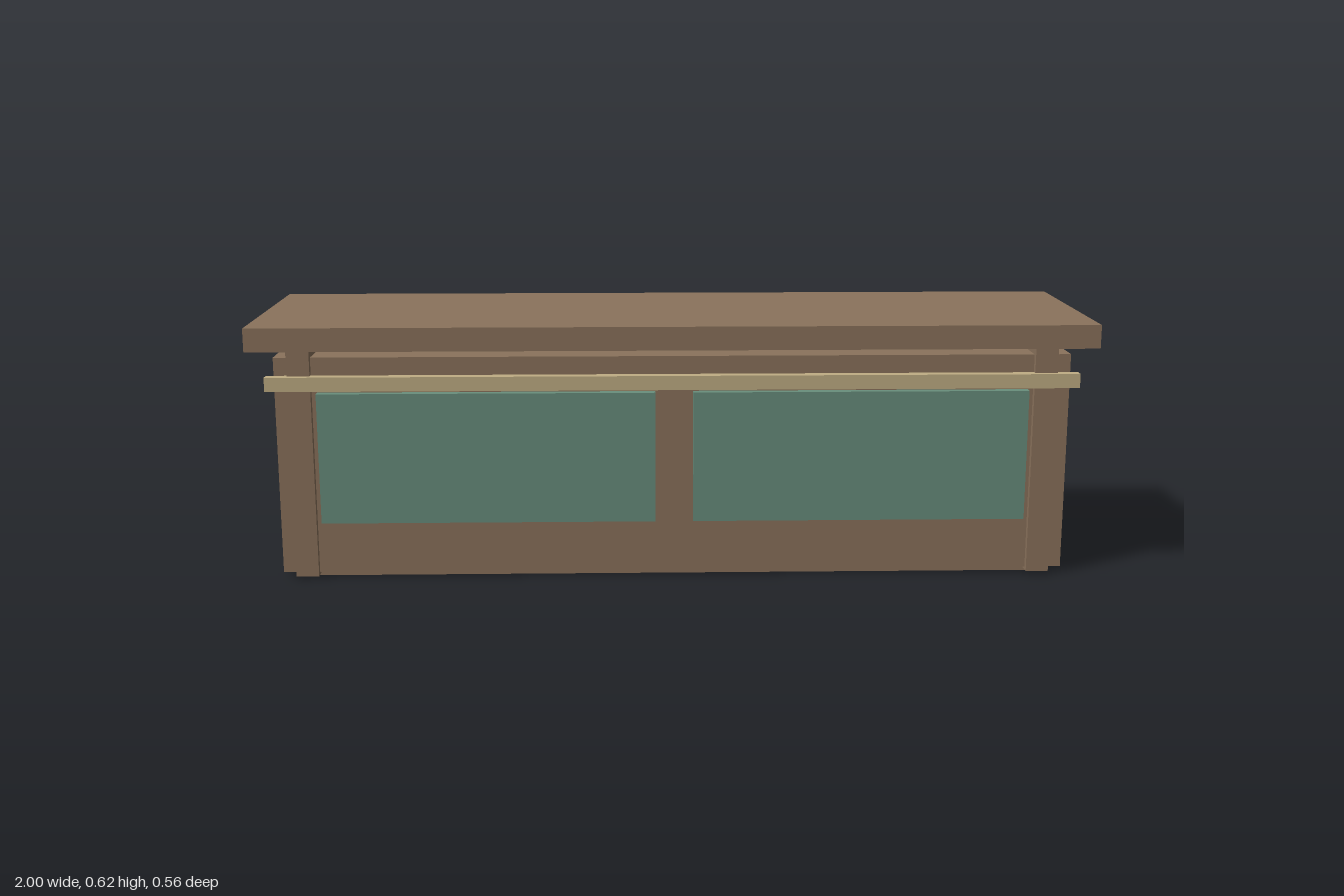
import * as THREE from 'three';

const material = (name, color) => {
  const m = new THREE.MeshStandardMaterial({ color });
  m.name = name;
  return m;
};

export function createModel() {
  const group = new THREE.Group();
  group.name = 'cabinet';
  const wood = material('brown wood', 0x8b735c);
  const green = material('muted green', 0x698f7d);
  const tan = material('pale tan', 0xc0ae84);

  // Box given by its lower and upper bounds on each axis
  const box = (name, mat, [x0, x1], [y0, y1], [z0, z1]) => {
    const mesh = new THREE.Mesh(new THREE.BoxGeometry(x1 - x0, y1 - y0, z1 - z0), mat);
    mesh.position.set((x0 + x1) / 2, (y0 + y1) / 2, (z0 + z1) / 2);
    mesh.name = name;
    group.add(mesh);
  };

  // Main case, thin base and overhanging top
  box('body', wood, [-0.943, 0.943], [0.014, 0.54], [-0.235, 0.235]);
  box('basePlate', wood, [-0.9, 0.9], [0, 0.02], [-0.218, 0.218]);
  box('topSlab', wood, [-1, 1], [0.561, 0.617], [-0.28, 0.28]);

  // Full-depth end frames and front panels, mirrored
  for (const [side, s] of [['left', 1], ['right', -1]]) {
    const span = (a, b) => (s > 0 ? [a, b] : [-b, -a]);
    box(side + 'EndFrame', wood, span(0.856, 0.91), [0.007, 0.561], [-0.25, 0.25]);
    box(side + 'FrontPanel', green, span(0.045, 0.843), [0.141, 0.456], [0.23, 0.256]);
  }

  // Front rail
  box('frontRail', tan, [-0.96, 0.96], [0.464, 0.498], [0.24, 0.266]);
  return group;
}
